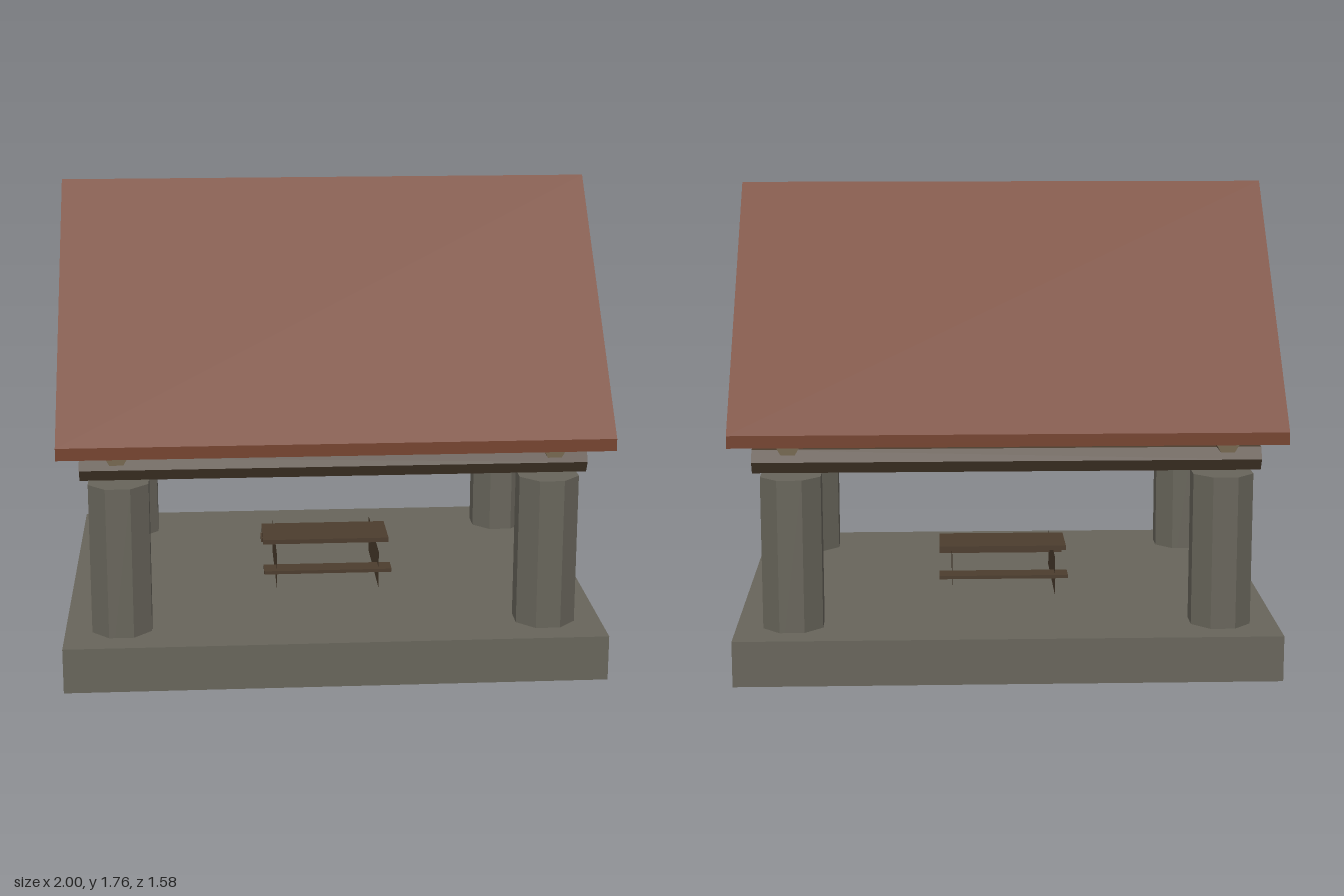
import * as THREE from 'three';

const mat = (color) => new THREE.MeshStandardMaterial({ color, flatShading: true, side: THREE.DoubleSide });
const stone = mat(0x68655b);
const wood = mat(0x4c3d2e);
const logEnd = mat(0x75674f);
const tile = mat(0x75432f);

export function createModel() {
  const model = new THREE.Group();
  const add = (name, geometry, material, x = 0, y = 0, z = 0, parent = model) => {
    const mesh = new THREE.Mesh(geometry, material);
    mesh.name = name;
    mesh.position.set(x, y, z);
    parent.add(mesh);
    return mesh;
  };
  const polygon = (points) => new THREE.Shape(points.map(([a, b]) => new THREE.Vector2(a, b)));

  // Stone platform: a box shell, open underneath
  const slab = new THREE.BoxGeometry(2, 0.17, 1.58);
  const index = Array.from(slab.index.array);
  index.splice(18, 6);
  slab.setIndex(index);
  slab.clearGroups();
  add('platform', slab, stone, 0, 0.085, 0);

  // Octagonal pillars, flat sides facing the axes, reaching down through the platform
  const radius = 0.11 / Math.cos(Math.PI / 8);
  const pillar = new THREE.CylinderGeometry(radius, radius, 0.74, 8);
  pillar.rotateY(Math.PI / 8);
  for (const sx of [-1, 1]) {
    for (const sz of [-1, 1]) add('pillar', pillar, stone, sx * 0.79, 0.37, sz * 0.58);
  }

  // Hexagonal logs with pale cut ends: two lengthwise, two crosswise on top
  const log = (length, alongX) => {
    const g = new THREE.CylinderGeometry(0.05, 0.05, length, 6);
    if (alongX) g.rotateZ(Math.PI / 2);
    else g.rotateY(Math.PI / 6).rotateX(Math.PI / 2);
    // Points of the hexagon lie to the sides, flats above and below
    if (!alongX) g.rotateZ(Math.PI / 3);
    return g;
  };
  const longLog = log(1.86, true);
  const crossLog = log(1.44, false);
  for (const s of [-1, 1]) {
    add('longBeam', longLog, [wood, logEnd, logEnd], 0, 0.793, s * 0.58);
    add('crossBeam', crossLog, [wood, logEnd, logEnd], s * 0.79, 0.882, 0);
  }

  // Pitched roof: chevron section extruded along x
  const roof = new THREE.ExtrudeGeometry(
    polygon([[-0.79, 0.88], [0, 1.72], [0.79, 0.88], [0.79, 0.925], [0, 1.765], [-0.79, 0.925]]),
    { depth: 2, bevelEnabled: false });
  roof.translate(0, 0, -1).rotateY(Math.PI / 2);
  add('roof', roof, tile);

  // Thin gable panels
  const gable = new THREE.ShapeGeometry(
    polygon([[-0.58, 0.925], [0.58, 0.925], [0.58, 1.093], [0, 1.71], [-0.58, 1.093]]));
  gable.rotateY(Math.PI / 2);
  for (const s of [-1, 1]) add('gable', gable, wood, s * 0.79);

  // Picnic table with two benches and thin end panels
  const table = new THREE.Group();
  table.name = 'picnicTable';
  model.add(table);
  add('tableTop', new THREE.BoxGeometry(0.5, 0.018, 0.21), wood, 0, 0.328, 0, table);
  const bench = new THREE.BoxGeometry(0.5, 0.013, 0.08);
  const panel = new THREE.PlaneGeometry(0.45, 0.15).rotateY(Math.PI / 2);
  for (const s of [-1, 1]) {
    add('bench', bench, wood, 0, 0.247, s * 0.197, table);
    add('endPanel', panel, wood, s * 0.2, 0.245, 0, table);
  }
  return model;
}
